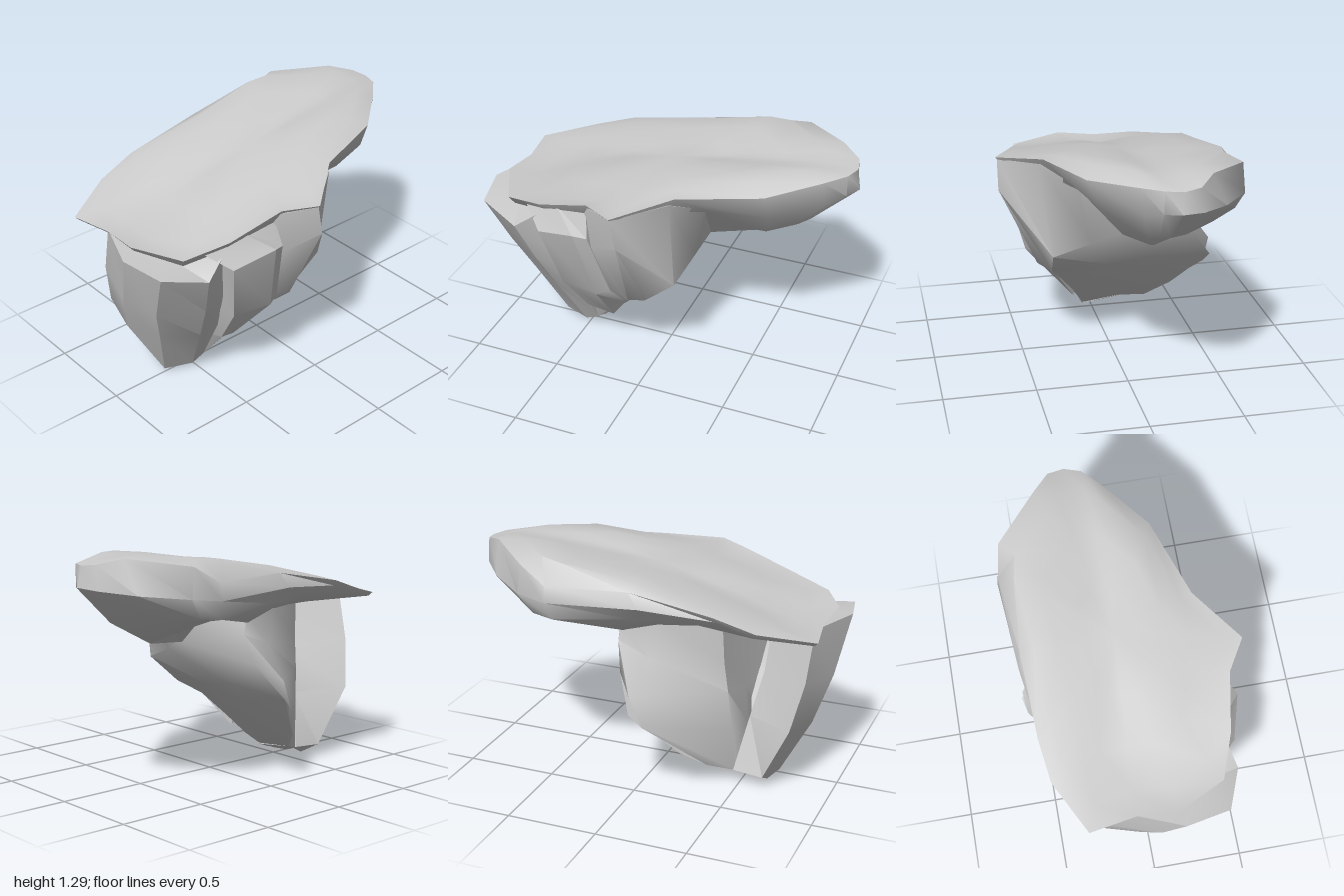
import * as THREE from 'three';
import { toCreasedNormals } from 'three/addons/utils/BufferGeometryUtils.js';

// Closed skin over rings of points, listed top to bottom, each counterclockwise from above
function loft(name, rings, crease) {
  const n = rings[0].length;
  const centre = ring => [0, 1, 2].map(k => ring.reduce((s, p) => s + p[k], 0) / n);
  const points = [...rings.flat(), centre(rings[0]), centre(rings.at(-1))];
  const top = points.length - 2, bottom = top + 1, last = (rings.length - 1) * n;
  const index = [];
  for (let j = 0; j < n; j++) {
    const k = (j + 1) % n;
    index.push(top, j, k, bottom, last + k, last + j);
    for (let i = 0; i < last; i += n) {
      index.push(i + j, i + n + j, i + n + k, i + j, i + n + k, i + k);
    }
  }
  const geo = new THREE.BufferGeometry();
  geo.setAttribute('position', new THREE.Float32BufferAttribute(points.flat(), 3));
  geo.setIndex(index);
  const mesh = new THREE.Mesh(toCreasedNormals(geo, crease),
    new THREE.MeshStandardMaterial({ color: 0xcccccc }));
  mesh.name = name;
  return mesh;
}

// Overhanging top slab: rim, bulging side and underside
const slabRim = [
  [0.98, 1.24, -0.16], [0.96, 1.25, -0.25], [0.85, 1.28, -0.34], [0.6, 1.24, -0.57], [0.45, 1.15, -0.6],
  [0, 1.16, -0.55], [-0.45, 1.08, -0.53], [-0.67, 1.01, -0.5], [-0.95, 0.95, -0.35], [-0.91, 0.96, -0.1],
  [-0.93, 0.98, 0.12], [-0.8, 0.97, 0.38], [-0.57, 1.02, 0.46], [-0.27, 1.11, 0.51], [-0.1, 1.12, 0.61],
  [0.17, 1.18, 0.39], [0.6, 1.2, 0.24], [0.85, 1.23, 0.03], [0.95, 1.24, -0.07],
];
const slabSide = [
  [1, 1.13, -0.15], [0.96, 1.12, -0.27], [0.83, 1.1, -0.42], [0.62, 1.08, -0.58], [0.45, 1.06, -0.61],
  [-0.06, 1.08, -0.57], [-0.45, 1.05, -0.51], [-0.65, 0.98, -0.48], [-0.93, 0.93, -0.34], [-0.88, 0.93, -0.1],
  [-0.9, 0.94, 0.1], [-0.78, 0.92, 0.35], [-0.55, 0.96, 0.42], [-0.27, 1.0, 0.46], [-0.1, 1.0, 0.5],
  [0.28, 1.05, 0.23], [0.61, 1.05, 0.18], [0.85, 1.08, 0], [0.95, 1.12, -0.07],
];
const slabBase = [
  [0.53, 0.8, -0.14], [0.52, 0.82, -0.2], [0.48, 0.89, -0.36], [0.45, 0.95, -0.52], [0.38, 0.95, -0.53],
  [0.09, 0.89, -0.41], [-0.12, 0.94, -0.38], [-0.3, 0.94, -0.32], [-0.41, 0.93, -0.25], [-0.5, 0.92, -0.05],
  [-0.55, 0.91, 0.1], [-0.55, 0.9, 0.25], [-0.45, 0.9, 0.3], [-0.25, 0.9, 0.35], [-0.1, 0.9, 0.35],
  [0.21, 0.75, -0.02], [0.5, 0.785, -0.11], [0.52, 0.79, -0.12], [0.53, 0.795, -0.13],
];
// Rounded belly under the overhanging left end
const slabBelly = slabSide.map((p, i) => {
  const [x, y, z] = p.map((v, k) => v + (slabBase[i][k] - v) * 0.45);
  return [x, x > 0.3 ? y - 0.05 : y, z];
});
// Weathered upper surface: the rim drawn inwards, rising to the left with a shallow valley
const surface = s => slabRim.map(([x, , z]) => {
  const px = x * s, pz = -0.05 + (z + 0.05) * s;
  const valley = 0.035 * Math.exp(-(((pz + 0.1) / 0.13) ** 2)) + 0.1 * Math.max(0, pz);
  return [px, 1.193 + 0.2 * px - 0.09 * px * px - valley, pz];
});

// Main mass, tapering from under the slab to a low keel
const body = [
  [[-0.27, 1.09, 0.5], [-0.1, 1.11, 0.6], [0.15, 1.15, 0.41], [0.28, 1.05, 0.22], [0.24, 0.95, -0.05],
    [0.1, 0.93, -0.41], [-0.11, 0.96, -0.39], [-0.41, 0.95, -0.26], [-0.48, 0.95, 0.05], [-0.55, 0.95, 0.3]],
  [[-0.25, 0.85, 0.5], [-0.07, 0.94, 0.6], [0.15, 0.61, 0.34], [0.19, 0.69, 0.13], [0.22, 0.75, -0.02],
    [0.12, 0.83, -0.41], [-0.06, 0.76, -0.42], [-0.42, 0.72, -0.25], [-0.47, 0.7, 0.05], [-0.55, 0.7, 0.3]],
  [[-0.2, 0.52, 0.39], [-0.1, 0.48, 0.39], [-0.03, 0.45, 0.32], [0.03, 0.49, 0], [0.06, 0.53, -0.2],
    [0.09, 0.67, -0.46], [-0.01, 0.59, -0.58], [-0.44, 0.55, -0.24], [-0.46, 0.5, 0], [-0.52, 0.5, 0.2]],
  [[-0.18, 0.37, 0.26], [-0.17, 0.37, 0.27], [-0.15, 0.37, 0.24], [-0.12, 0.38, 0.05], [-0.08, 0.4, -0.2],
    [-0.01, 0.49, -0.59], [-0.08, 0.42, -0.57], [-0.46, 0.33, -0.22], [-0.49, 0.3, -0.05], [-0.48, 0.33, 0.1]],
  [[-0.45, 0.05, 0.06], [-0.37, 0.12, 0.1], [-0.33, 0.15, 0.08], [-0.31, 0.15, 0], [-0.29, 0.17, -0.2],
    [-0.24, 0.23, -0.42], [-0.34, 0.12, -0.29], [-0.48, 0.07, -0.2], [-0.52, 0.03, -0.08], [-0.5, 0.03, 0]],
];

// Leaning wedge at the right corner, reaching the ground and wrapping round to the back
const cornerPillar = [
  [[-0.95, 0.92, 0.39], [-0.72, 0.86, 0.48], [-0.6, 0.94, 0.44], [-0.6, 0.95, 0.05], [-0.88, 0.94, -0.15],
    [-1, 0.94, 0.15]],
  [[-0.88, 0.6, 0.24], [-0.66, 0.6, 0.37], [-0.53, 0.62, 0.35], [-0.58, 0.62, -0.05], [-0.86, 0.66, -0.23],
    [-0.94, 0.62, 0.04]],
  [[-0.79, 0.36, 0.14], [-0.6, 0.35, 0.24], [-0.48, 0.36, 0.24], [-0.53, 0.38, -0.13], [-0.8, 0.4, -0.29],
    [-0.86, 0.37, -0.06]],
  [[-0.67, 0.02, 0], [-0.52, 0.02, 0.06], [-0.44, 0.05, 0.06], [-0.47, 0.08, -0.22], [-0.64, 0.07, -0.23],
    [-0.63, 0, -0.1]],
];

// Shorter prism between the corner and the front bulge
const frontPillar = [
  [[-0.7, 0.98, 0.38], [-0.48, 1.04, 0.45], [-0.29, 1.07, 0.47], [-0.25, 1.05, 0.3], [-0.62, 1.0, 0.25]],
  [[-0.57, 0.87, 0.49], [-0.34, 0.93, 0.55], [-0.27, 0.91, 0.52], [-0.25, 0.9, 0.3], [-0.58, 0.85, 0.25]],
  [[-0.49, 0.5, 0.39], [-0.27, 0.5, 0.43], [-0.2, 0.52, 0.4], [-0.2, 0.55, 0.1], [-0.56, 0.5, 0.1]],
  [[-0.43, 0.24, 0.21], [-0.3, 0.17, 0.15], [-0.17, 0.37, 0.27], [-0.22, 0.37, 0], [-0.48, 0.2, 0]],
];

export function createModel() {
  const rock = new THREE.Group();
  rock.name = 'rock';
  rock.add(
    loft('topSlab', [surface(0.3), surface(0.6), surface(0.85), slabRim, slabSide, slabBelly, slabBase], 0.8),
    loft('mainBody', body, 0.8),
    loft('cornerPillar', cornerPillar, 0.5),
    loft('frontPillar', frontPillar, 0.5),
  );
  return rock;
}
